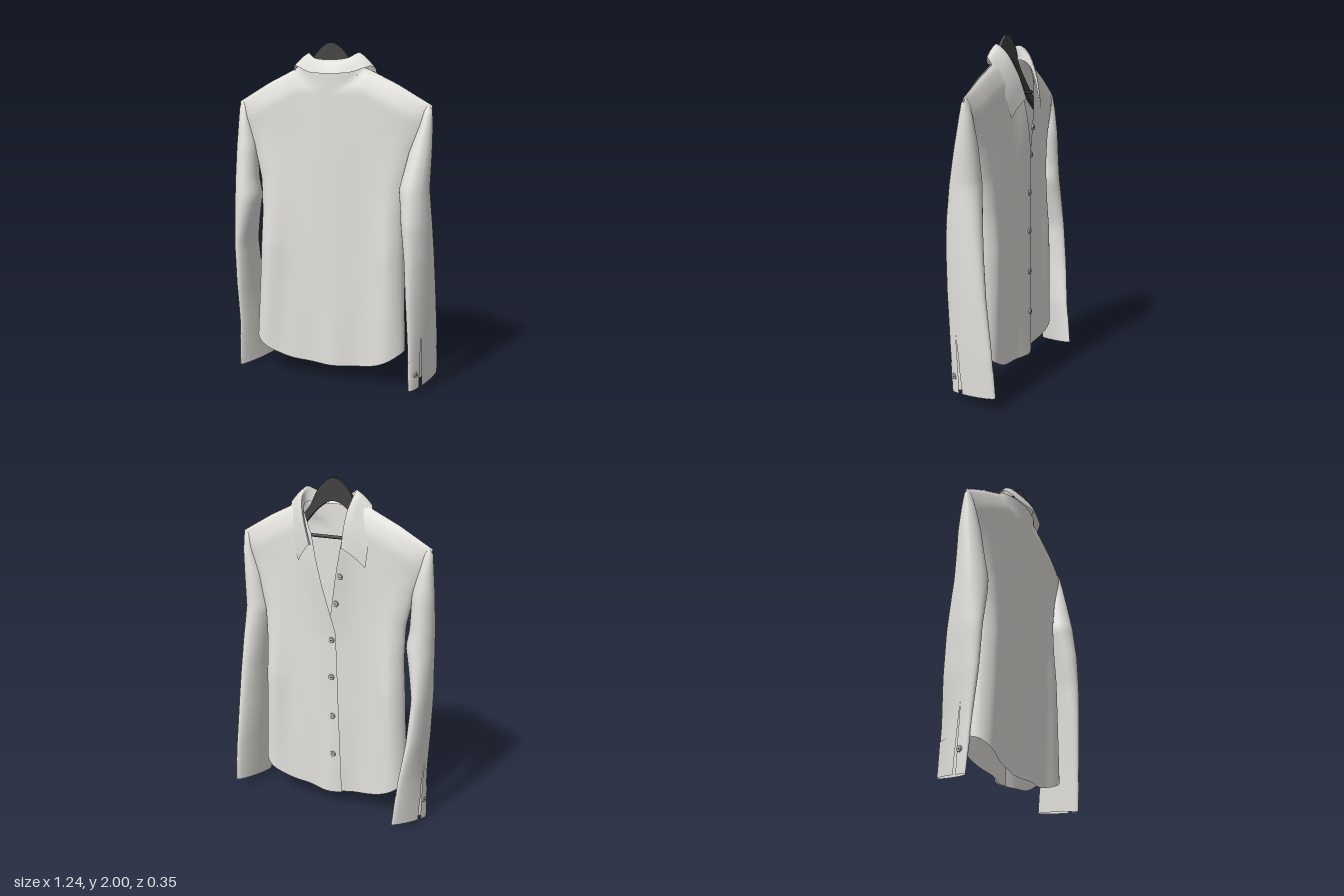
import * as THREE from 'three';

const cloth = new THREE.MeshStandardMaterial({ color: 0xe4e2dd, side: THREE.DoubleSide });
cloth.name = 'shirtCloth';
const black = new THREE.MeshStandardMaterial({ color: 0x404040 });
black.name = 'hangerBlack';
const grey = new THREE.MeshStandardMaterial({ color: 0xbebcb8 });
grey.name = 'buttonGrey';

const lerp = THREE.MathUtils.lerp;
const clamp = THREE.MathUtils.clamp;
const bump = (x, centre, spread) => Math.exp(-(((x - centre) / spread) ** 2));

// Linear lookup in rows [key, value...] with rising keys
function look(rows, k) {
  if (k <= rows[0][0]) return rows[0].slice(1);
  for (let i = 1; i < rows.length; i++) {
    const a = rows[i - 1], b = rows[i];
    if (k <= b[0]) {
      const t = (k - a[0]) / (b[0] - a[0]);
      return a.slice(1).map((v, j) => lerp(v, b[j + 1], t));
    }
  }
  return rows[rows.length - 1].slice(1);
}

// Sheet of nu x nv cells from a point function of (s, t) in 0..1
function sheet(nu, nv, fn) {
  const pos = [], idx = [];
  for (let j = 0; j <= nv; j++) for (let i = 0; i <= nu; i++) pos.push(...fn(i / nu, j / nv));
  for (let j = 0; j < nv; j++) for (let i = 0; i < nu; i++) {
    const a = j * (nu + 1) + i, b = a + 1, c = a + nu + 1, d = c + 1;
    idx.push(a, c, b, b, c, d);
  }
  const g = new THREE.BufferGeometry();
  g.setAttribute('position', new THREE.Float32BufferAttribute(pos, 3));
  g.setIndex(idx);
  g.computeVertexNormals();
  return g;
}

function add(parent, name, geometry, material) {
  const m = new THREE.Mesh(geometry, material);
  m.name = name;
  parent.add(m);
  return m;
}

// Body measurements
const widths = [[0.2, 0.475], [0.6, 0.457], [1.0, 0.443], [1.2, 0.452], [1.4, 0.5], [1.62, 0.594]];
const shoulder = [[0, 1.86], [0.2, 1.865], [0.4, 1.77], [0.594, 1.66]];
const width = y => look(widths, y)[0];
const shift = y => -0.015 * clamp((1.3 - y) / 1.1, 0, 1);
const topY = x => look(shoulder, Math.abs(x))[0];
const hemY = u => 0.1 + 0.125 * Math.abs(u) ** 3;

// Depth of the cloth at (x, y); side is +1 for the plain panel and -1 for the buttoned one
function bodyZ(x, y, side) {
  const u = clamp((x - shift(y)) / width(y), -1, 1), v = Math.abs(u);
  const round = Math.sqrt(1 - v ** 8);
  const neck = Math.sqrt(Math.max(0, 1 - (x / 0.21) ** 2));
  const drop = Math.sqrt(clamp((topY(x) - y) / 0.13, 0, 1));
  const low = clamp((1.5 - y) / 0.7, 0, 1);
  // Full at the sides, hollow between them and the middle, tapering to the shoulder ends
  const taper = 1 - 0.35 * (1 - low) * v ** 3;
  const depth = side > 0
    ? 0.058 + 0.012 * bump(x, 0, 0.15) + 0.036 * low * bump(v, 0.84, 0.2)
    : 0.056 + (0.03 + 0.035 * clamp((y - 1.1) / 0.5, 0, 1)) * bump(x, 0, 0.13) + 0.044 * low * bump(v, 0.87, 0.2);
  const fold = 0.008 * clamp((0.6 - y) / 0.5, 0, 1) * round * Math.sin(x * 23 + side);
  return 0.02 - 0.01 * u * low + side * depth * taper * round * Math.max(drop, neck) + fold;
}

const backPanel = () => sheet(64, 48, (s, t) => {
  const u = Math.sin((s - 0.5) * Math.PI);
  const y = lerp(topY(u * 0.594), hemY(u), t ** 1.25);
  const x = u * width(y) + shift(y);
  return [x, y, bodyZ(x, y, 1)];
});

// Opening edges of the two button panels, by height
const overEdge = [[0.1, -0.1], [0.6, -0.08], [1.14, -0.06], [1.7, 0.09]];
const underEdge = [[0.1, 0.03], [1.1, 0.0], [1.25, -0.03], [1.46, -0.06], [1.7, -0.1]];

function frontPanel(dir, edge, lift) {
  return sheet(40, 48, (s, t) => {
    const k = Math.sin(s * Math.PI / 2);
    const x0 = dir * lerp(0.095, 0.594, k);
    const top = Math.min(topY(x0), 1.7 + Math.max(0, Math.abs(x0) - 0.095) * 1.57);
    const hx = lerp(look(edge, 0.1)[0], dir * 0.475, k);
    const y = lerp(top, hemY(hx / 0.475), t ** 1.25);
    const x = lerp(look(edge, y)[0], dir * width(y) + shift(y), k);
    return [x, y, bodyZ(x, y, -1) - lift * (1 - k) * Math.min(1, t * 4)];
  });
}

// Sleeve rows: y, front-edge x and z, rear-edge x and z, half thickness
const sleeves = {
  left: [[0.05, 0.528, 0.137, 0.605, -0.16, 0.028], [0.3, 0.525, 0.152, 0.605, -0.14, 0.038],
    [0.6, 0.515, 0.168, 0.595, -0.1, 0.05], [0.8, 0.51, 0.172, 0.583, -0.08, 0.058],
    [1.0, 0.495, 0.17, 0.565, -0.06, 0.07], [1.2, 0.485, 0.147, 0.54, -0.04, 0.08],
    [1.4, 0.525, 0.1, 0.55, -0.03, 0.063], [1.55, 0.56, 0.062, 0.566, -0.018, 0.036],
    [1.64, 0.568, 0.038, 0.57, 0.003, 0.027], [1.664, 0.575, 0.025, 0.575, 0.015, 0.004]],
  right: [[0.02, -0.605, 0.07, -0.48, -0.17, 0.02], [0.3, -0.59, 0.09, -0.5, -0.14, 0.032],
    [0.55, -0.585, 0.12, -0.54, -0.115, 0.042], [0.8, -0.58, 0.135, -0.56, -0.09, 0.048],
    [1.0, -0.55, 0.14, -0.55, -0.07, 0.07], [1.1, -0.54, 0.135, -0.54, -0.06, 0.08],
    [1.2, -0.547, 0.12, -0.55, -0.05, 0.07], [1.4, -0.555, 0.09, -0.545, -0.04, 0.063],
    [1.55, -0.562, 0.062, -0.566, -0.018, 0.038], [1.64, -0.57, 0.038, -0.57, 0.003, 0.027],
    [1.664, -0.575, 0.025, -0.575, 0.015, 0.004]],
};

// Point on a sleeve: angle 0 is its front edge, 90 degrees its outer side
function sleevePoint(rows, dir, angle, y, grow = 0) {
  const [xf, zf, xb, zb, th] = look(rows, y);
  const ax = (xf - xb) / 2, az = (zf - zb) / 2, len = Math.hypot(ax, az);
  const c = Math.cos(angle) * (1 + grow / len), s = Math.sin(angle) * (th + grow);
  const tilt = Math.max(0, 0.3 - y) / 0.3;
  return [(xf + xb) / 2 + ax * c + dir * s * az / len,
    y - tilt * 0.02 * Math.cos(angle),
    (zf + zb) / 2 + az * c - dir * s * ax / len];
}

const slitAngle = 1.08;
function sleevePart(rows, dir, y0, y1, nv, grow) {
  return sheet(36, nv, (s, t) => {
    const y = lerp(y1, y0, t);
    const gap = 0.1 * clamp((0.38 - y) / 0.3, 0, 1);
    return sleevePoint(rows, dir, slitAngle + gap + s * (Math.PI * 2 - 2 * gap), y, grow);
  });
}

// Collar stations from the nape to the tip: stand foot, fold and flap edge
const collarHalf = [
  [[0, 1.85, 0.07], [0, 1.905, 0.098], [0, 1.83, 0.13]],
  [[0.09, 1.85, 0.06], [0.1, 1.915, 0.082], [0.12, 1.835, 0.108]],
  [[0.145, 1.86, 0.02], [0.155, 1.945, 0.035], [0.245, 1.868, 0.045]],
  [[0.145, 1.83, -0.03], [0.155, 1.9, -0.025], [0.245, 1.77, -0.012]],
  [[0.12, 1.74, -0.075], [0.13, 1.79, -0.08], [0.235, 1.65, -0.045]],
  [[0.095, 1.64, -0.1], [0.1, 1.645, -0.11], [0.21, 1.535, -0.06]],
];
// The collar sits slightly askew: to the left at the nape, to the right at the tips
const skew = y => lerp(-0.025, 0.02, clamp((y - 1.54) / 0.3, 0, 1));
function collarGeometry() {
  const mirror = collarHalf.slice(1).reverse().map(st => st.map(([x, y, z]) => [-x, y, z]));
  const curves = [0, 1, 2].map(k => new THREE.CatmullRomCurve3(
    [...mirror, ...collarHalf].map(st => new THREE.Vector3(...st[k]))));
  return sheet(40, 6, (s, t) => {
    const [a, b, c] = curves.map(q => q.getPoint(s));
    const p = t < 0.5 ? a.lerp(b, t * 2) : b.lerp(c, t * 2 - 1);
    const puff = t > 0.5 ? 0.007 * Math.sin((t - 0.5) * Math.PI * 2) : 0;
    return [p.x + skew(p.y), p.y + puff, p.z];
  });
}

// Round button with a dark centre, facing local +z
function makeButton(name, position, yaw) {
  const b = new THREE.Group();
  b.name = name;
  add(b, 'buttonDisc', new THREE.CylinderGeometry(0.016, 0.018, 0.01, 16).rotateX(Math.PI / 2), grey);
  add(b, 'buttonCentre', new THREE.CylinderGeometry(0.004, 0.004, 0.003, 10).rotateX(Math.PI / 2), black)
    .position.z = 0.005;
  b.position.set(...position);
  b.rotation.y = yaw;
  return b;
}

function makeHanger() {
  const h = new THREE.Group();
  h.name = 'hanger';
  const points = list => list.map(p => new THREE.Vector2(...p));
  const shape = new THREE.Shape();
  shape.moveTo(-0.44, 1.57);
  shape.splineThru(points([[-0.3, 1.69], [-0.16, 1.82], [-0.09, 1.94], [0, 2.0],
    [0.09, 1.94], [0.16, 1.82], [0.3, 1.69], [0.44, 1.57]]));
  shape.lineTo(0.43, 1.54);
  shape.splineThru(points([[0.25, 1.66], [0.1, 1.82], [0, 1.87], [-0.1, 1.82], [-0.25, 1.66], [-0.43, 1.54]]));
  const arms = add(h, 'hangerArms', new THREE.ExtrudeGeometry(shape,
    { depth: 0.02, bevelEnabled: false, curveSegments: 40 }), black);
  arms.position.set(0.01, 0, 0.038);
  const bar = add(h, 'hangerBar', new THREE.CylinderGeometry(0.01, 0.01, 0.6, 12).rotateZ(Math.PI / 2), black);
  bar.position.set(0.01, 1.67, 0.025);
  return h;
}

export function createModel() {
  const model = new THREE.Group();
  model.name = 'shirtOnHanger';
  add(model, 'plainPanel', backPanel(), cloth);
  add(model, 'overlappingButtonPanel', frontPanel(1, overEdge, 0.012), cloth);
  add(model, 'underButtonPanel', frontPanel(-1, underEdge, 0), cloth);
  add(model, 'collar', collarGeometry(), cloth);

  for (const [side, dir, angle, yaw] of [['left', 1, 0.74, 1.2], ['right', -1, 0.85, -1.9]]) {
    const rows = sleeves[side], low = rows[0][0];
    add(model, side + 'Sleeve', sleevePart(rows, dir, low + 0.02, 1.664, 48, 0), cloth);
    add(model, side + 'Cuff', sleevePart(rows, dir, low, 0.21, 6, 0.003), cloth);
    model.add(makeButton(side + 'CuffButton', sleevePoint(rows, dir, angle, 0.14, 0.005), yaw));
  }

  // Row of buttons down the opening; the top two are undone
  [[-0.085, 1.47], [-0.06, 1.31], [-0.035, 1.09], [-0.035, 0.86], [-0.04, 0.61], [-0.045, 0.36]]
    .forEach(([x, y], i) => model.add(makeButton('frontButton' + (i + 1),
      [x, y, bodyZ(x, y, -1) - (i < 2 ? 0.004 : 0.015)], Math.PI)));

  model.add(makeHanger());
  return model;
}
